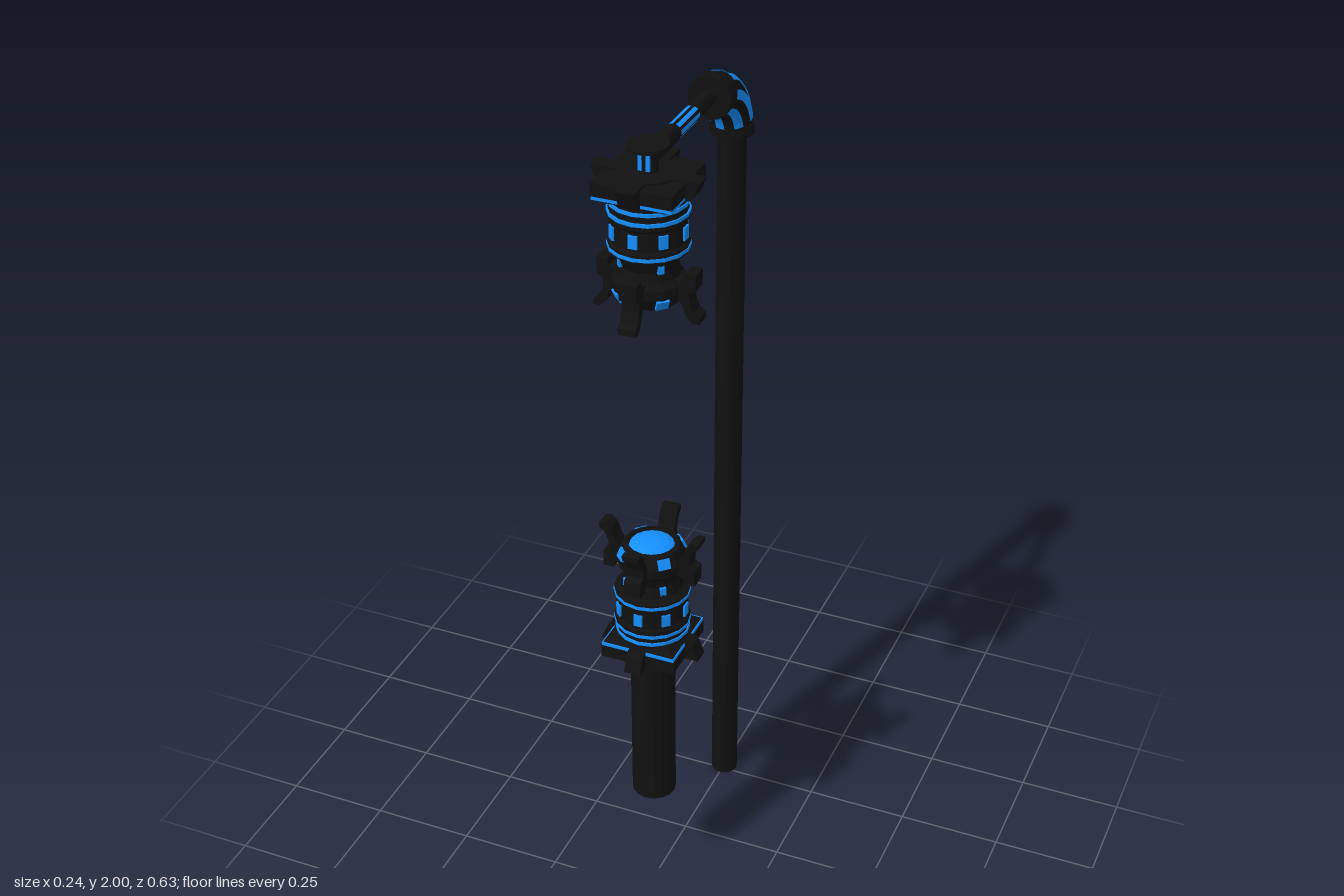
import * as THREE from 'three';
import { ParametricGeometry } from 'three/addons/geometries/ParametricGeometry.js';

const dark = new THREE.MeshStandardMaterial({ color: 0x111111, flatShading: true, side: THREE.DoubleSide });
const blue = new THREE.MeshStandardMaterial({ color: 0x1490ff, flatShading: true, side: THREE.DoubleSide });

const HEAD_Z = 0.195, POLE_Z = -0.265, BEND = 0.135, ARM_Y = 1.954;

function add(parent, name, geo, mat, x = 0, y = 0, z = 0) {
  const m = new THREE.Mesh(geo, mat);
  m.name = name;
  m.position.set(x, y, z);
  parent.add(m);
  return m;
}

const lathe = (pts, n) => new THREE.LatheGeometry(pts.map(p => new THREE.Vector2(...p)), n);

// Runs a builder on a group turned to each of n directions
function around(parent, name, n, start, build) {
  for (let i = 0; i < n; i++) {
    const g = new THREE.Group();
    g.name = name;
    g.rotation.y = start + i * Math.PI * 2 / n;
    parent.add(g);
    build(g);
  }
}

// Plate in the radial (z, y) plane, of given width
function radialPlate(pts, width) {
  const geo = new THREE.ExtrudeGeometry(new THREE.Shape(pts.map(p => new THREE.Vector2(...p))), { depth: width, bevelEnabled: false });
  geo.translate(0, 0, -width / 2);
  geo.rotateY(-Math.PI / 2);
  return geo;
}

// Emitter head standing upright, y from 0.72 to 1.045
function emitter() {
  const g = new THREE.Group();
  g.name = 'emitterHead';

  // Square base with blue trim
  add(g, 'basePlate', new THREE.BoxGeometry(0.18, 0.03, 0.18), dark, 0, 0.74, 0);
  add(g, 'baseTrim', new THREE.BoxGeometry(0.178, 0.008, 0.178), blue, 0, 0.759, 0);
  add(g, 'baseCap', new THREE.CylinderGeometry(0.085, 0.122, 0.018, 4).rotateY(Math.PI / 4), dark, 0, 0.772, 0);
  add(g, 'baseUnderside', new THREE.CylinderGeometry(0.065, 0.065, 0.02, 16), dark, 0, 0.73, 0);

  // Round body, neck and bowl
  add(g, 'body', lathe([[0, 0.765], [0.083, 0.765], [0.083, 0.797], [0.087, 0.803], [0.087, 0.818], [0.082, 0.824],
    [0.082, 0.868], [0.087, 0.873], [0.087, 0.891], [0.072, 0.899], [0.063, 0.925], [0.068, 0.945],
    [0.079, 0.96], [0.079, 0.98], [0.066, 1.008], [0.055, 1.012], [0.052, 1.0], [0, 1.0]], 16), dark);
  for (const [y, r, h] of [[0.782, 0.086, 0.008], [0.804, 0.0885, 0.008], [0.883, 0.0885, 0.008]])
    add(g, 'glowRing', new THREE.CylinderGeometry(r, r, h, 16), blue, 0, y, 0);
  add(g, 'lens', new THREE.SphereGeometry(0.054, 16, 4, 0, Math.PI * 2, 0, Math.PI / 2).scale(1, 0.35, 1), blue, 0, 1.0, 0);

  // Lit windows
  around(g, 'bodyWindow', 8, 0, w => add(w, 'window', new THREE.BoxGeometry(0.02, 0.03, 0.008), blue, 0, 0.845, 0.081));
  around(g, 'bowlWindow', 4, Math.PI / 4, w => {
    add(w, 'window', new THREE.BoxGeometry(0.028, 0.024, 0.006), blue, 0, 0.994, 0.073).rotation.x = -0.44;
    add(w, 'neckLight', new THREE.BoxGeometry(0.014, 0.02, 0.008), blue, 0, 0.915, 0.065);
  });

  // Claws and the sloped tabs beneath them
  const claw = radialPlate([[0.045, 0.95], [0.085, 0.945], [0.087, 0.93], [0.113, 0.93], [0.112, 0.968], [0.097, 0.975],
    [0.099, 1.0], [0.107, 1.02], [0.12, 1.03], [0.121, 1.043], [0.106, 1.044], [0.092, 1.03], [0.083, 1.005], [0.07, 0.985], [0.045, 0.975]], 0.04);
  const tab = radialPlate([[0.06, 0.72], [0.121, 0.72], [0.106, 0.757], [0.095, 0.764], [0.06, 0.764]], 0.04);
  around(g, 'clawSide', 4, 0, s => {
    add(s, 'claw', claw, dark);
    add(s, 'tab', tab, dark);
  });
  return g;
}

// Part of a tube bent from the arm down into the pole
function bentTube(r, phi0, phi1, t0, t1, nPhi) {
  return new ParametricGeometry((u, v, out) => {
    const phi = phi0 + (phi1 - phi0) * u, t = (t0 + (t1 - t0) * v) * Math.PI / 2;
    const R = BEND + r * Math.cos(phi);
    out.set(r * Math.sin(phi), ARM_Y - BEND + R * Math.cos(t), POLE_Z + BEND - R * Math.sin(t));
  }, nPhi, 8);
}

export function createModel() {
  const model = new THREE.Group();
  model.name = 'emitterStand';

  // Lower head on its post
  const lower = emitter();
  lower.position.z = HEAD_Z;
  model.add(lower);
  add(model, 'lowerPost', new THREE.CylinderGeometry(0.052, 0.052, 0.435, 16), dark, 0, 0.5125, HEAD_Z);

  // Upper head, upside down and facing the lower one
  const upper = emitter();
  upper.rotation.z = Math.PI;
  upper.position.set(0, 2.645, HEAD_Z);
  model.add(upper);
  add(model, 'hangerStub', new THREE.CylinderGeometry(0.022, 0.022, 0.06, 12), dark, 0, 1.95, HEAD_Z);
  add(model, 'hangerCap', new THREE.CylinderGeometry(0.045, 0.045, 0.008, 20), dark, 0, 1.981, HEAD_Z);
  for (const s of [-1, 1])
    add(model, 'hangerLight', new THREE.BoxGeometry(0.008, 0.035, 0.006), blue, s * 0.009, 1.95, HEAD_Z + 0.021);

  // Arm and tall pole
  add(model, 'arm', new THREE.CylinderGeometry(0.018, 0.018, 0.33, 14).rotateX(Math.PI / 2), dark, 0, ARM_Y, 0.03);
  add(model, 'armSleeve', new THREE.CylinderGeometry(0.02, 0.02, 0.12, 14).rotateX(Math.PI / 2), dark, 0, ARM_Y, 0.13);
  add(model, 'pole', new THREE.CylinderGeometry(0.033, 0.033, 1.83, 16), dark, 0, 0.915, POLE_Z);

  // Elbow with end collars
  add(model, 'elbow', bentTube(0.046, 0, Math.PI * 2, 0, 1, 14), dark);
  add(model, 'armCollar', new THREE.CylinderGeometry(0.05, 0.05, 0.024, 14).rotateX(Math.PI / 2), dark, 0, ARM_Y - 0.003, POLE_Z + BEND - 0.011);
  add(model, 'poleCollar', new THREE.CylinderGeometry(0.05, 0.05, 0.024, 14), dark, 0, ARM_Y - BEND + 0.012, POLE_Z);

  // Light strips along elbow and arm
  for (let i = 0; i < 7; i++) {
    const phi = -0.28 + i * Math.PI * 2 / 7, half = 0.22;
    add(model, 'elbowStrip', bentTube(0.0485, phi - half, phi + half, 0.2, 0.82, 2), blue);
    add(model, 'armStrip', new THREE.CylinderGeometry(0.0188, 0.0188, 0.1, 2, 1, true, phi - half - 0.08, 2 * half + 0.08)
      .rotateX(-Math.PI / 2), blue, 0, ARM_Y, 0.015);
  }
  return model;
}
